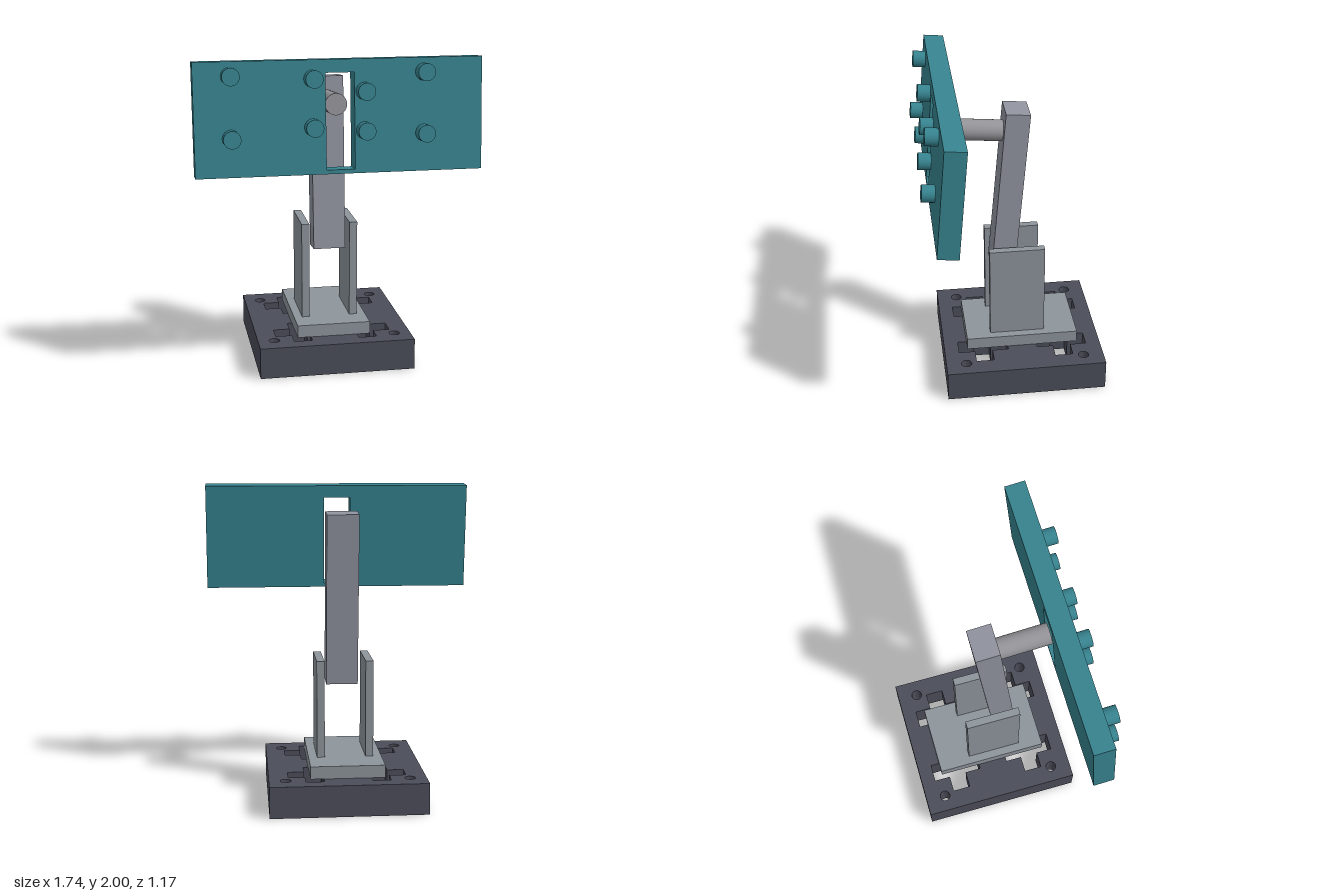
import * as THREE from 'three';

const mat = (name, color) => {
  const m = new THREE.MeshStandardMaterial({ color });
  m.name = name;
  return m;
};

export function createModel() {
  const teal = mat('teal', 0x378490);
  const slate = mat('slate', 0x4b4d59);
  const grey = mat('grey', 0x8d949b);
  const armGrey = mat('armGrey', 0x9194a0);
  const rodGrey = mat('rodGrey', 0x959499);

  const model = new THREE.Group();
  model.name = 'signStand';
  const TILT = -THREE.MathUtils.degToRad(5);

  const add = (parent, name, geometry, material, x, y, z) => {
    const mesh = new THREE.Mesh(geometry, material);
    mesh.name = name;
    mesh.position.set(x, y, z);
    parent.add(mesh);
    return mesh;
  };
  const box = (w, h, d) => new THREE.BoxGeometry(w, h, d);

  // Closed rectangle, used for outlines and slots
  const rect = (path, x0, y0, x1, y1) =>
    path.moveTo(x0, y0).lineTo(x1, y0).lineTo(x1, y1).lineTo(x0, y1).closePath();

  // Base slab with four cross cut-outs and four corner holes
  const base = rect(new THREE.Shape(), -0.495, -0.52, 0.495, 0.52);
  const L = 0.164, A = 0.058;
  const cross = [[-A, -L], [A, -L], [A, -A], [L, -A], [L, A], [A, A],
    [A, L], [-A, L], [-A, A], [-L, A], [-L, -A], [-A, -A]];
  for (const sx of [-1, 1]) {
    for (const sy of [-1, 1]) {
      base.holes.push(new THREE.Path(cross.map(([x, y]) =>
        new THREE.Vector2(x + sx * 0.2085, y + sy * 0.2615))));
      const hole = new THREE.Path();
      hole.absarc(sx * 0.39, sy * 0.388, 0.035, 0, Math.PI * 2, true);
      base.holes.push(hole);
    }
  }
  const baseGeo = new THREE.ExtrudeGeometry(base, { depth: 0.2, bevelEnabled: false, curveSegments: 6 });
  baseGeo.rotateX(-Math.PI / 2);
  add(model, 'base', baseGeo, slate, -0.002, 0, -0.062);

  // Pedestal plate and the two upright cheeks
  add(model, 'pedestal', box(0.47, 0.08, 0.735), grey, -0.003, 0.24, -0.063);
  for (const s of [-1, 1]) {
    add(model, s < 0 ? 'rightCheek' : 'leftCheek', box(0.05, 0.625, 0.36), grey,
      -0.004 + s * 0.156, 0.5925, -0.035);
  }

  // Leaning arm and the rod reaching forward from it
  add(model, 'arm', box(0.206, 1.11, 0.153), armGrey, 0, 1.277, 0).rotation.x = TILT;
  const rodGeo = new THREE.CylinderGeometry(0.067, 0.067, 0.325, 40).rotateX(Math.PI / 2);
  add(model, 'rod', rodGeo, rodGrey, -0.002, 1.697, 0.198).rotation.x = TILT;

  // Tilted panel with a tall slot
  const head = new THREE.Group();
  head.name = 'head';
  head.position.set(0, 1.652, 0.4265);
  head.rotation.x = TILT;
  model.add(head);
  const panel = rect(new THREE.Shape(), -0.872, -0.342, 0.872, 0.342);
  panel.holes.push(rect(new THREE.Path(), -0.087, -0.317, 0.087, 0.263));
  const panelGeo = new THREE.ExtrudeGeometry(panel, { depth: 0.13, bevelEnabled: false });
  add(head, 'panel', panelGeo, teal, 0, 0, -0.065);

  // Pegs on the front of the panel: x, upper y, lower y
  const pegGeo = new THREE.CylinderGeometry(0.053, 0.053, 0.08, 24).rotateX(Math.PI / 2);
  for (const [x, up, low] of [[-0.655, 0.256, -0.11], [-0.165, 0.23, -0.058],
    [0.148, 0.15, -0.085], [0.512, 0.256, -0.11]]) {
    add(head, 'upperPeg', pegGeo, teal, x, up, 0.105);
    add(head, 'lowerPeg', pegGeo, teal, x, low, 0.105);
  }
  return model;
}
